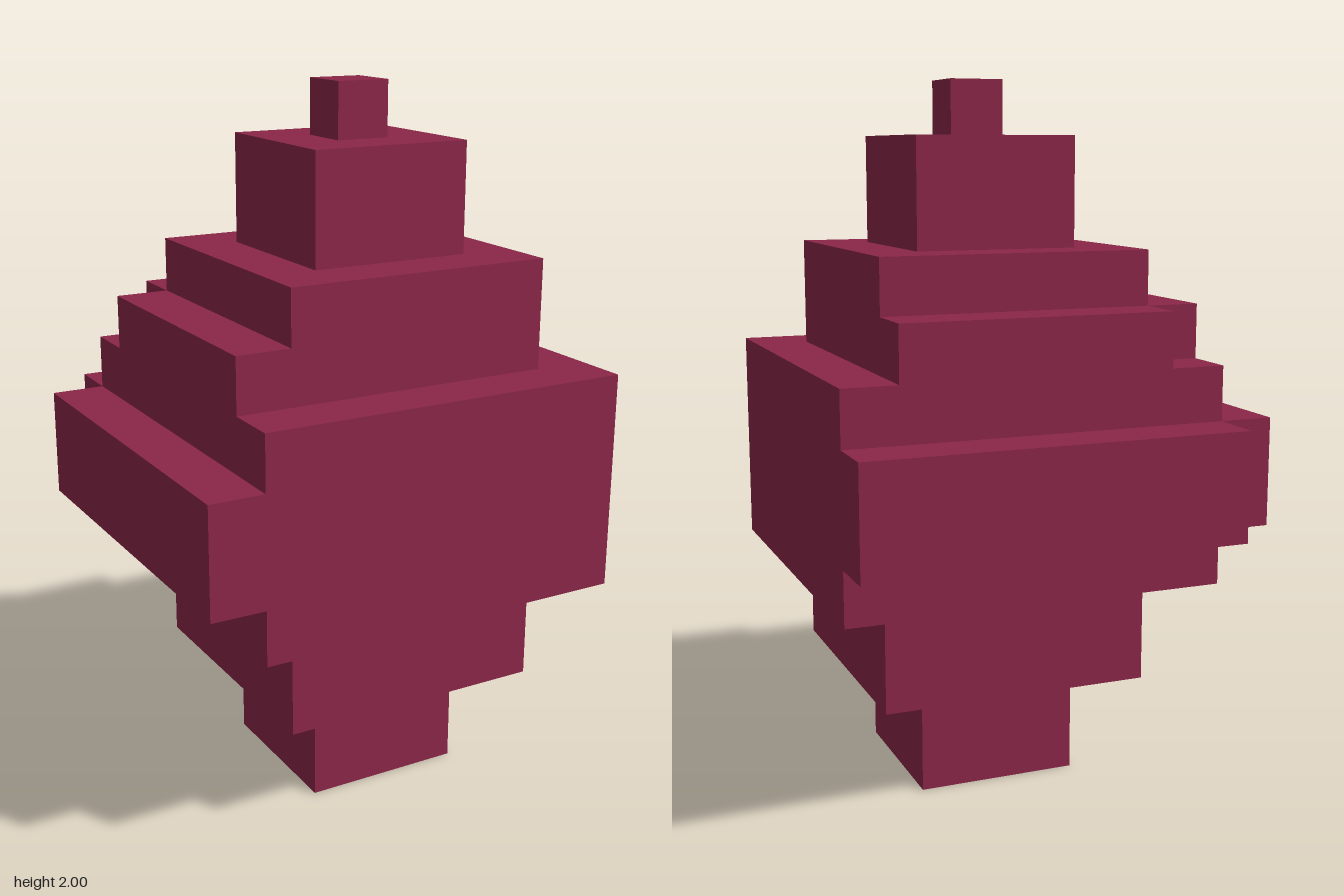
import * as THREE from 'three';

const U = 2 / 13; // one block

export function createModel() {
  const group = new THREE.Group();
  const material = new THREE.MeshStandardMaterial({ color: 0x8b2748 });

  // Box between two corners given in whole blocks
  function block(name, [x0, y0, z0], [x1, y1, z1]) {
    const geometry = new THREE.BoxGeometry((x1 - x0) * U, (y1 - y0) * U, (z1 - z0) * U);
    const mesh = new THREE.Mesh(geometry, material);
    mesh.name = name;
    mesh.position.set((x0 + x1) / 2 * U, (y0 + y1) / 2 * U, (z0 + z1) / 2 * U);
    group.add(mesh);
  }

  // Stacked square tiers: bottom, top, low side, high side (same in x and z)
  const tiers = [
    ['baseTier', 0, 2, -1, 2],
    ['lowerTier', 2, 4, -2, 3],
    ['middleTier', 4, 8, -3, 4],
    ['upperTier', 8, 10, -2, 3],
    ['topTier', 10, 12, -1, 2],
    ['tip', 12, 13, 0, 1],
  ];
  for (const [name, y0, y1, a, b] of tiers) block(name, [a, y0, a], [b, y1, b]);

  // Ledges on the right and back, leaving an open notch at their shared corner
  const ledges = [
    ['MiddleLedge', 5, 7, -4, -3, 4],
    ['UpperLedge', 8, 9, -3, -2, 3],
  ];
  for (const [name, y0, y1, outer, inner, end] of ledges) {
    block('right' + name, [outer, y0, inner], [inner, y1, end]);
    block('back' + name, [inner, y0, outer], [end, y1, inner]);
  }
  return group;
}
